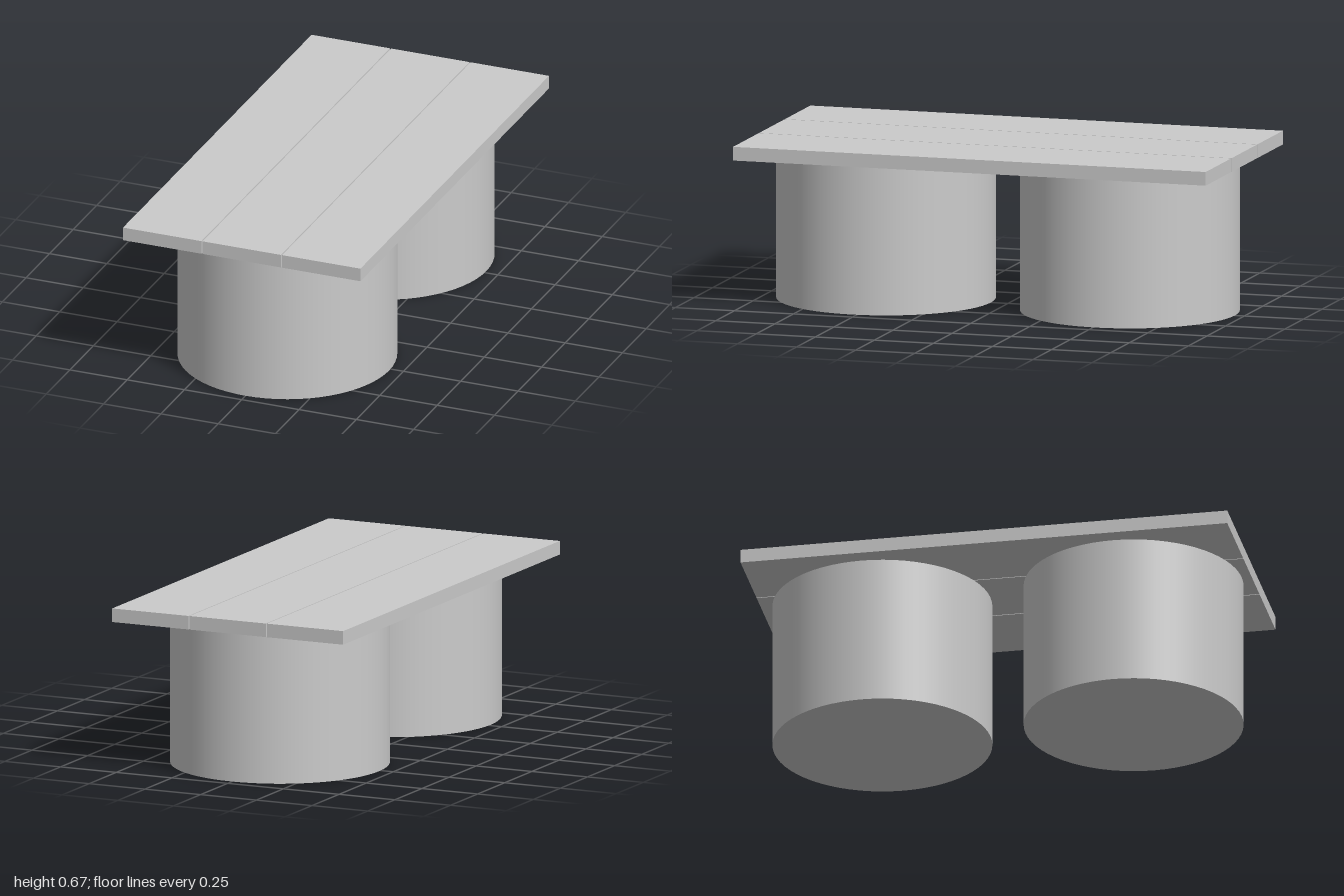
import * as THREE from 'three';

export function createModel() {
  const model = new THREE.Group();
  const material = new THREE.MeshStandardMaterial({ color: 0xcccccc });

  const legHeight = 0.618, legRadius = 0.444, legOffset = 0.516;
  const plankWidth = 0.342, plankPitch = 0.347, plankThickness = 0.056;

  const add = (name, geometry, x, y, z) => {
    const mesh = new THREE.Mesh(geometry, material);
    mesh.name = name;
    mesh.position.set(x, y, z);
    model.add(mesh);
  };

  // Two drum-shaped supports, front and back
  const drum = new THREE.CylinderGeometry(legRadius, legRadius, legHeight, 64);
  add('frontDrum', drum, 0, legHeight / 2, legOffset);
  add('backDrum', drum, 0, legHeight / 2, -legOffset);

  // Three long planks with narrow gaps between them
  const plank = new THREE.BoxGeometry(plankWidth, plankThickness, 2);
  ['rightPlank', 'middlePlank', 'leftPlank'].forEach((name, i) =>
    add(name, plank, (i - 1) * plankPitch, legHeight + plankThickness / 2, 0));

  return model;
}
